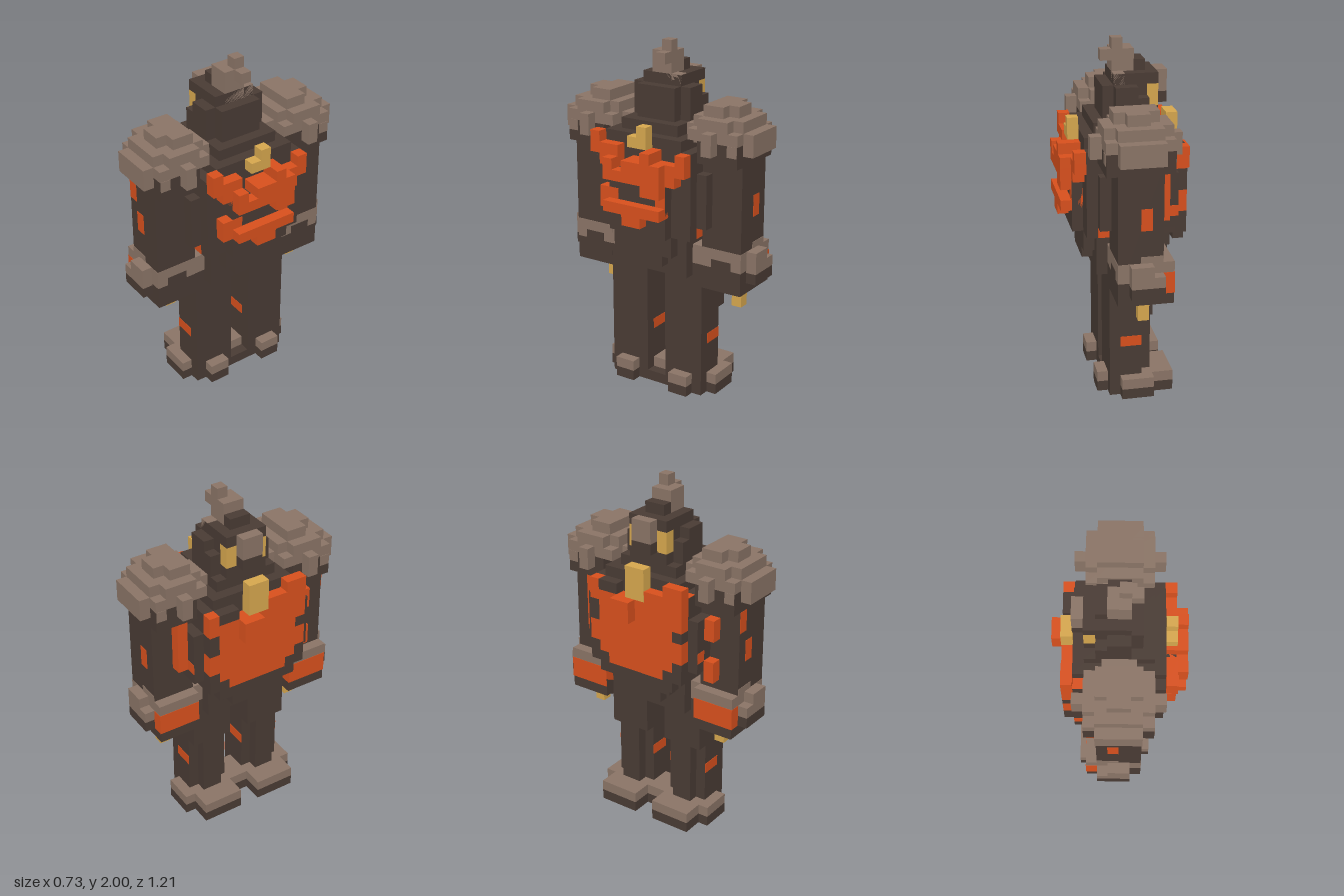
import * as THREE from 'three';

const U = 2 / 33; // one block

export function createModel() {
  const model = new THREE.Group();
  const paint = (name, color) => {
    const m = new THREE.MeshStandardMaterial({ color });
    m.name = name;
    return m;
  };
  const dark = paint('charredIron', 0x493b34);
  const grey = paint('ashStone', 0x8a7466);
  const orange = paint('ember', 0xd8501d);
  const gold = paint('brass', 0xd6a74e);

  // box between two corners, measured in blocks
  const box = (name, mat, x0, x1, y0, y1, z0, z1) => {
    const g = new THREE.BoxGeometry((x1 - x0) * U, (y1 - y0) * U, (z1 - z0) * U);
    const m = new THREE.Mesh(g, mat);
    m.name = name;
    m.position.set((x0 + x1) / 2 * U, (y0 + y1) / 2 * U, (z0 + z1) / 2 * U);
    model.add(m);
  };
  // the same box on both sides of the body
  const pair = (name, mat, x0, x1, y0, y1, z0, z1) => {
    box(name, mat, x0, x1, y0, y1, z0, z1);
    box(name, mat, x0, x1, y0, y1, -z1, -z0);
  };
  // rows of blocks, top row first; each run of equal letters becomes one box
  const relief = (name, rows, top, dir, x0, x1) => {
    rows.forEach((row, r) => {
      for (const run of row.matchAll(/O+|d+/g)) {
        const a = -5 + run.index, b = a + run[0].length;
        const z = dir > 0 ? [a, b] : [-b, -a];
        box(name, run[0][0] === 'O' ? orange : dark, x0, x1, top - r, top - r + 1, ...z);
      }
    });
  };

  // feet
  pair('footSole', dark, -2, 2, 0, 1, 0, 5);
  pair('footSole', dark, -2, 1, 0, 1, 5, 6);
  pair('toeSole', dark, -4, -2, 0, 1, 1, 5);
  pair('footTop', grey, -2, 1, 1, 2, 0, 6);
  pair('toeTop', grey, -4, -2, 1, 2, 1, 5);
  pair('heelSole', dark, 2, 3, 0, 1, 2, 4);
  pair('heelTop', grey, 2, 3, 1, 2, 2, 4);

  // legs with ember marks on both sides
  pair('leg', dark, -1, 2, 1, 12, 1, 5);
  pair('shin', dark, -2, -1, 2, 8, 2, 4);
  pair('thigh', dark, -2, -1, 8, 12, 1, 5);
  pair('legEmber', orange, -1, 1, 5, 6, 5, 5.04);
  pair('legEmber', orange, -1, 1, 5, 6, 0.96, 1);

  // waist and chest
  box('hips', dark, -3, 3, 12, 13, -4, 4);
  box('belt', dark, -4, 4, 14, 16, -3, 3);
  box('buckle', dark, -4, 4, 13, 14, -2, 2);
  box('waist', dark, -3, 3, 13, 16, -4, 4);
  box('chest', dark, -4, 4, 16, 24, -5, 5);
  box('chestTop', dark, -4, 4, 24, 25, -4, 4);
  box('collar', dark, -3, 3, 25, 26, -3, 3);
  box('backPlate', dark, 4, 5, 16, 22, -3, 3);
  pair('chestSideEmber', orange, 2, 3, 16, 17, 5, 5.04);

  // ember pattern on the +x face
  relief('backEmber', [
    'O.........',
    'OOO...O..O',
    '.OO.OOOOOO',
    '..OOOOOOO.',
    '......OO..',
    '.OO....O..',
    '.OOOOOOO..',
    '....OO....',
  ], 24, -1, 4, 5.04);
  relief('backEmberRidge', [
    '......O...',
    '..O.OOOO..',
    '..OOOOOO..',
    '......OO..',
    '..........',
    '..OOOOOO..',
    '....OO....',
  ], 23, -1, 5, 6);
  box('backClasp', gold, 4, 5, 24, 25, -1, 1);
  box('backClaspTip', gold, 4, 5, 25, 26, -1, 0);

  // ember pattern on the -x face
  relief('breastEmber', [
    '........OO',
    'Odd...OOOO',
    'OOOOOOOOOO',
    'dOOOOOOOOO',
    'dOOOOOOOOd',
    'OOOOOOOOOO',
    'OOOOOOOOOO',
    'dOOOOOOOOd',
    'ddOOOOOOdd',
    '.dddddddd.',
  ], 24, 1, -5, -4);
  box('breastEmberTop', orange, -4, -3, 24, 24.04, 4, 5);
  box('breastEmberBoss', orange, -6, -5, 21, 23, -2, 0);
  box('breastClasp', gold, -5.04, -4, 23, 26, -1, 1);

  // arms
  pair('arm', dark, -2, 2, 12, 24, 5, 9);
  pair('armRib', dark, 2, 3, 17, 22, 5, 6);
  pair('armRib', dark, -4, -2, 17, 22, 5, 6);
  box('armEmberRib', orange, -3, -2, 20, 22, 6, 7);
  box('armEmberRib', orange, -3, -2, 16, 18, 6, 7);
  box('armEmberRib', orange, -3, -2, 18, 23, -7, -6);
  pair('ribEmber', orange, -4, -3, 18, 19, 6, 6.04);
  pair('armEmber', orange, -1, 0, 18, 20, 9, 9.04);
  box('armEmber', orange, -2, -1, 21, 23, 9, 9.04);

  // gauntlets and hands
  pair('gauntletBase', dark, -3, 2.03, 12, 13.2, 5, 9);
  pair('gauntletBaseInner', dark, -2, 2, 12, 13.2, 4, 5);
  pair('gauntlet', grey, -3, 2.03, 13.2, 15, 5, 9.03);
  pair('gauntletInner', grey, -2, 2, 13.2, 15, 4, 5);
  pair('gauntletSoot', dark, 2, 2.06, 13.2, 14, 6, 8);
  pair('gauntletPeak', grey, -2, 0, 15, 15.6, 9, 9.04);
  pair('gauntletGuard', grey, -2, 1, 13, 14, 9, 10);
  pair('gauntletStud', grey, -1, 1, 14, 15, 9, 10);
  pair('gauntletGuardBase', dark, -2, 1, 12, 13, 9, 10);
  pair('gauntletEmber', orange, -3.04, -2, 12, 14, 5, 9.06);
  pair('fist', dark, -3, 2, 11, 12, 5, 9);
  for (const z of [6, -8]) {
    box('claw', gold, -1, 0, 9, 11, z, z + 1);
    box('knuckle', dark, -1, 0, 10, 11, z + 1, z + 2);
  }

  // shoulder guards, stepped towards the top
  pair('shoulderSkirt', dark, -3, 3, 23, 25, 5, 9);
  for (const x of [-3.04, 3]) pair('shoulderAsh', grey, x, x + 0.04, 24, 25, 8, 8.97);
  pair('shoulderDrip', grey, -1, 1, 23.7, 24, 9, 9.04);
  pair('shoulderRim', grey, -2, 2, 24, 26, 9, 10);
  pair('shoulderGuard', grey, -3, 3, 25, 26, 4, 9);
  pair('shoulderLip', grey, -2, 2, 24.5, 25, 4, 5);
  pair('shoulderStep', grey, -3, 3, 26, 27, 5, 8);
  pair('shoulderStep', grey, -2, 2, 26, 27, 4, 9);
  pair('shoulderCrown', grey, -2, 2, 27, 28, 5, 7);
  pair('shoulderCrown', grey, -1, 1, 27, 28, 7, 8);
  pair('shoulderInner', grey, -1.5, 1.5, 25, 26.04, 3, 4);
  pair('shoulderStud', grey, 3, 4, 24, 26, 6, 7);
  pair('shoulderStud', grey, -4, -3, 24, 26, 6, 7);

  // head
  box('head', dark, -2, 2, 26, 29, -2, 2);
  pair('cheek', dark, -2, 1, 26, 28, 2, 3);
  pair('temple', dark, -1, 1, 28, 29, 2, 3);
  box('headCrown', dark, -2, 1, 29, 30, -2, 2);
  box('brow', dark, -3, -2, 29, 30, -2, 2);
  box('face', dark, -3, -2, 26, 29, -1, 1);
  pair('jaw', dark, -3, -2, 26, 27, 1, 2);
  pair('eye', gold, -3, -2, 27, 29, 1, 2);
  box('visor', grey, -4, -3, 28, 30, -1, 1);
  box('visorBase', dark, -4, -3, 27, 28, -1, 1);

  // plume
  box('plumeBase', dark, -2, -1, 30, 31, -1, 1);
  box('plume', grey, -1, 1, 29, 32, -1, 1);
  box('plumeTip', grey, 0, 1, 32, 33, -1, 0);
  box('plumeSide', grey, 1, 2, 31, 32, -1, 0);
  box('plumeRoot', grey, 0, 1, 29, 30.04, -2, -1);

  return model;
}
